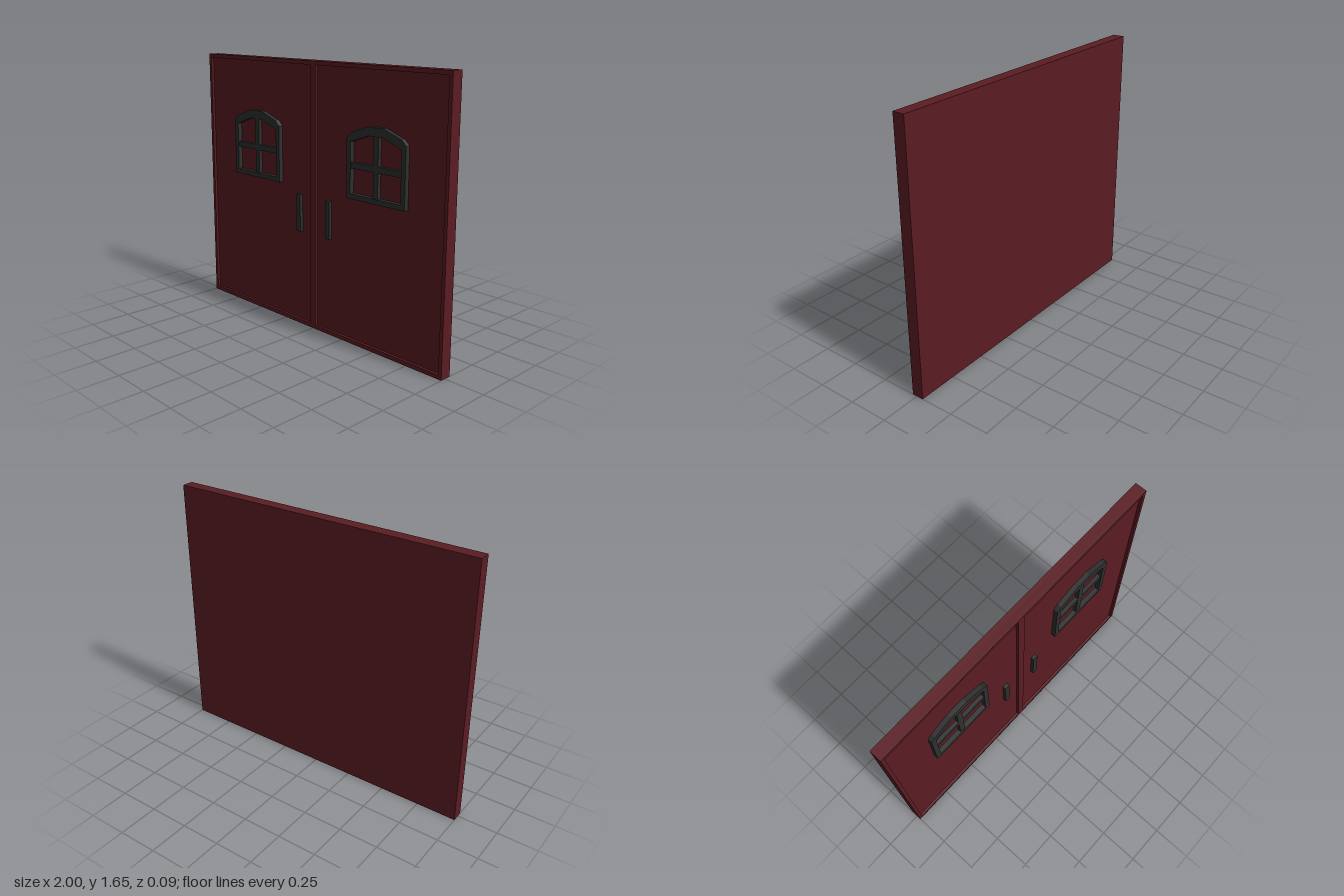
import * as THREE from 'three';

const red = new THREE.MeshStandardMaterial({ color: 0x5a1c22 });
const iron = new THREE.MeshStandardMaterial({ color: 0x2e2f2f });

const BACK = -0.043, PANEL = 0.014, FRAME = 0.031; // depth levels along z

// Box given by its extents
function box(name, material, x0, x1, y0, y1, z0, z1) {
  const mesh = new THREE.Mesh(new THREE.BoxGeometry(x1 - x0, y1 - y0, z1 - z0), material);
  mesh.position.set((x0 + x1) / 2, (y0 + y1) / 2, (z0 + z1) / 2);
  mesh.name = name;
  return mesh;
}

// Flat outline extruded from z0 to z1
function plate(name, material, shape, z0, z1) {
  const geometry = new THREE.ExtrudeGeometry(shape, { depth: z1 - z0, bevelEnabled: false });
  const mesh = new THREE.Mesh(geometry, material);
  mesh.position.z = z0;
  mesh.name = name;
  return mesh;
}

// Closed outline from its right half, listed bottom to top
function symmetric(half) {
  const left = half.map(([x, y]) => [-x, y]).reverse();
  return [...half, ...left].map(([x, y]) => new THREE.Vector2(x, y));
}

function rectangle(x0, x1, y0, y1) {
  return [[x0, y0], [x1, y0], [x1, y1], [x0, y1]].map(([x, y]) => new THREE.Vector2(x, y));
}

// Arched window frame with crossing bars
function createWindow() {
  const group = new THREE.Group();
  const outline = new THREE.Shape(symmetric(
    [[0.217, 0.888], [0.217, 1.24], [0.187, 1.27], [0.056, 1.316]]));
  outline.holes.push(new THREE.Path(symmetric(
    [[0.186, 0.918], [0.186, 1.217], [0.056, 1.265]])));
  group.add(
    plate('windowFrame', iron, outline, PANEL, 0.043),
    box('verticalBar', iron, -0.018, 0.018, 0.91, 1.27, PANEL, 0.037),
    box('horizontalBar', iron, -0.19, 0.19, 1.065, 1.1, PANEL, 0.0365)
  );
  return group;
}

export function createModel() {
  const model = new THREE.Group();
  model.name = 'doubleDoor';

  // Solid door slab behind the raised border
  model.add(box('doorPanels', red, -1, 1, 0, 1.65, BACK, PANEL));

  // Raised border with one opening per door
  const border = new THREE.Shape(rectangle(-1, 1, 0, 1.65));
  border.holes.push(
    new THREE.Path(rectangle(-0.978, -0.024, 0.026, 1.626)),
    new THREE.Path(rectangle(0.024, 0.978, 0.026, 1.626))
  );
  model.add(plate('doorFrame', red, border, PANEL, FRAME));

  // Window and handle on each door
  for (const [side, s] of [['left', 1], ['right', -1]]) {
    const pane = createWindow();
    pane.name = side + 'Window';
    pane.position.x = s * 0.507;
    const handle = box(side + 'Handle', iron, -0.0175, 0.0175, 0.604, 0.84, PANEL, 0.035);
    handle.position.x = s * 0.126;
    model.add(pane, handle);
  }
  return model;
}
